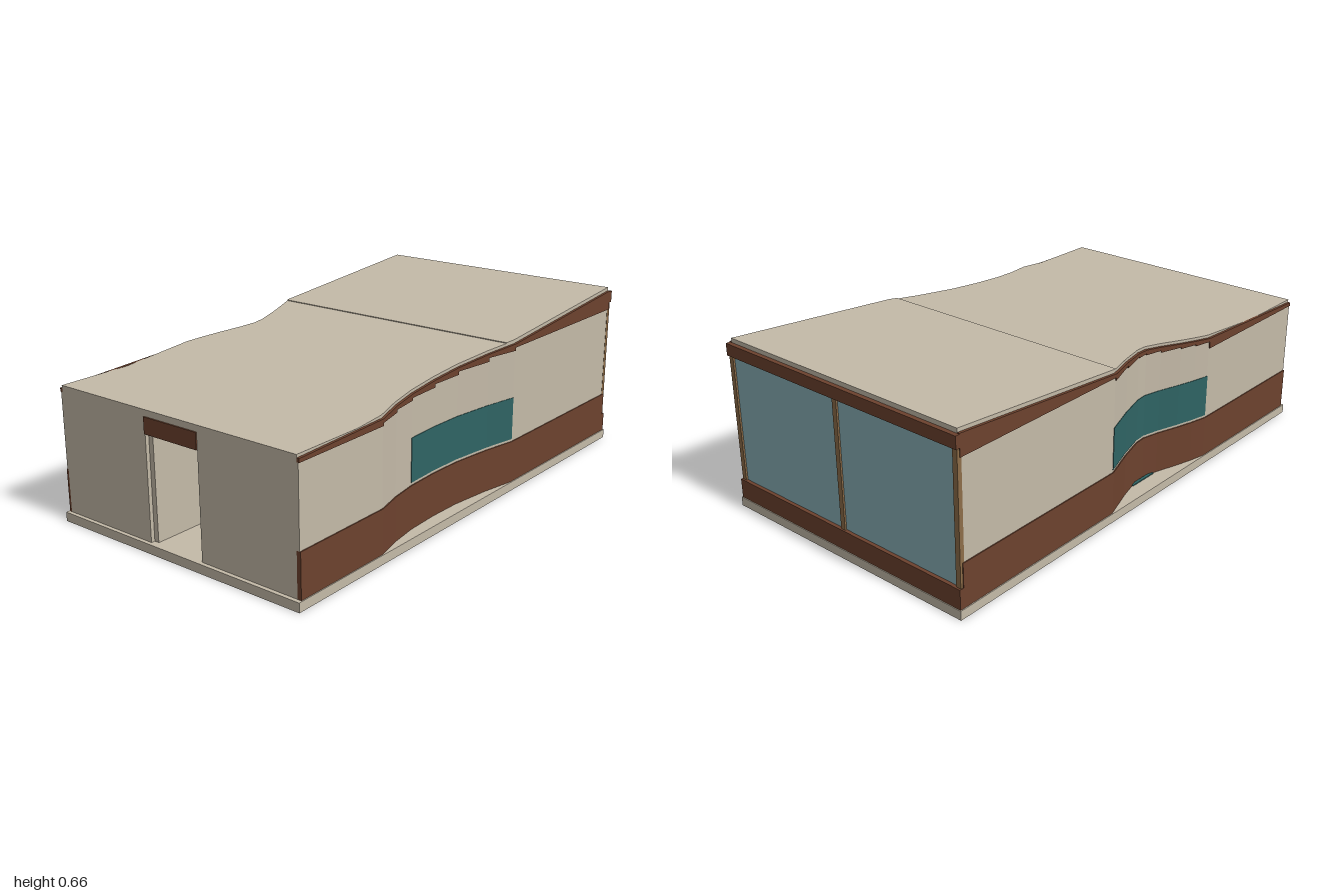
import * as THREE from 'three';

const mat = (name, color, opts = {}) => {
  const m = new THREE.MeshStandardMaterial({ color, ...opts });
  m.name = name;
  return m;
};

export function createModel() {
  const group = new THREE.Group();
  const beige = mat('plaster beige', 0xc4baa8);
  const brown = mat('timber brown', 0x6d422e);
  const teal = mat('dark teal glass', 0x2f6464);
  const glass = mat('pale blue glass', 0x88b0b6);
  const tan = mat('tan frame', 0x8c6c48);

  const add = (name, geometry, material, parent = group) => {
    const mesh = new THREE.Mesh(geometry, material);
    mesh.name = name;
    parent.add(mesh);
    return mesh;
  };
  // Box given by its min and max corners
  const block = (name, material, x0, x1, y0, y1, z0, z1) => {
    const g = new THREE.BoxGeometry(x1 - x0, y1 - y0, z1 - z0);
    g.translate((x0 + x1) / 2, (y0 + y1) / 2, (z0 + z1) / 2);
    return add(name, g, material);
  };
  // Moves every vertex of a box by a rule, then shades it flat
  const warpBox = (segments, rule) => {
    const g = new THREE.BoxGeometry(1, 1, 1, 1, 1, segments).toNonIndexed();
    const p = g.attributes.position;
    for (let i = 0; i < p.count; i++) p.setXYZ(i, ...rule(p.getX(i), p.getY(i), p.getZ(i)));
    g.computeVertexNormals();
    return g;
  };

  const FLOOR = 0.035;
  const ROOF = 0.025;
  const roofTop = (z) => 0.515 + Math.max(0, 0.69 - z) * 0.0868;

  // Outer wall lines in plan, [x, z]; the +x side runs backwards, the -x side forwards
  const leftPath = [[0.549, 0.985], [0.549, 0.57], [0.522, 0.46], [0.506, 0.35], [0.5, 0.21],
    [0.503, 0.07], [0.523, -0.1], [0.549, -0.24], [0.549, -0.98]];
  const rightPath = [[-0.549, -0.98], [-0.549, -0.21], [-0.505, -0.08], [-0.475, 0.03], [-0.471, 0.08],
    [-0.487, 0.15], [-0.515, 0.24], [-0.534, 0.31], [-0.549, 0.38], [-0.549, 0.985]];

  // Mitred outward normal at each path point
  const normals = (path) => path.map((_, i) => {
    const a = path[Math.max(i - 1, 0)];
    const b = path[Math.min(i + 1, path.length - 1)];
    const l = Math.hypot(b[0] - a[0], b[1] - a[1]);
    return [-(b[1] - a[1]) / l, (b[0] - a[0]) / l];
  });

  // Side walls: plinth band, plaster, ribbon window and fascia for every segment
  const sideWall = (name, path) => {
    const wall = new THREE.Group();
    wall.name = name;
    group.add(wall);
    const n = normals(path);
    for (let i = 0; i < path.length - 1; i++) {
      const prism = (part, material, inner, outer, y0, top) => add(part, warpBox(1, (u, v, w) => {
        const k = u < 0 ? i : i + 1;
        const off = w > 0 ? outer : inner;
        const z = path[k][1];
        return [path[k][0] + n[k][0] * off, v < 0 ? y0 : top(z), z + n[k][1] * off];
      }), material, wall);
      const wallTop = roofTop(Math.max(path[i][1], path[i + 1][1])) - ROOF;
      prism('plinthBand', brown, -0.012, 0.004, FLOOR, () => 0.2);
      prism('plaster', beige, -0.012, 0, 0.2, () => wallTop);
      prism('fascia', brown, -0.008, 0.004, wallTop, (z) => roofTop(z) - 0.011);
      // Windows only follow the curved stretch
      const zMin = Math.min(path[i][1], path[i + 1][1]);
      const zMax = Math.max(path[i][1], path[i + 1][1]);
      const limit = path === leftPath ? 0.36 : 0.39;
      if (zMin > -0.25 && zMax < limit) prism('ribbonWindow', teal, -0.013, 0.002, 0.21, () => 0.375);
    }
  };
  sideWall('leftWall', leftPath);
  sideWall('rightWall', rightPath);

  // Roof: cross-sections along z, following both wall lines
  const xAt = (path, z) => {
    for (let i = 0; i < path.length - 1; i++) {
      const [a, b] = [path[i], path[i + 1]];
      if ((z - a[1]) * (z - b[1]) <= 0) return a[0] + (b[0] - a[0]) * (z - a[1]) / (b[1] - a[1]);
    }
    return path[0][0];
  };
  const roof = (name, z0, z1, lift) => {
    const inside = [...leftPath, ...rightPath].map((p) => p[1]).concat(0.69).filter((z) => z > z0 && z < z1);
    const stations = [...new Set([z0, ...inside, z1])].sort((a, b) => a - b);
    const count = stations.length - 1;
    add(name, warpBox(count, (u, v, w) => {
      const z = stations[Math.round((w + 0.5) * count)];
      const x = u < 0 ? xAt(rightPath, z) + 0.006 : xAt(leftPath, z) - 0.006;
      return [x, roofTop(z) + (v > 0 ? lift : -ROOF), z];
    }), beige);
  };
  roof('frontRoof', -0.2, 0.985, 0);
  roof('rearRoof', -0.98, -0.2, 0.003);

  // Floor slab
  block('floorSlab', beige, -0.557, 0.557, 0, FLOOR, -1, 1);

  // Front wall with open doorway
  for (const s of [-1, 1]) {
    const [a, b] = s < 0 ? [-0.543, -0.122] : [0.122, 0.543];
    block('frontWall', beige, a, b, FLOOR, 0.49, 0.97, 0.985);
  }
  block('doorLintel', brown, -0.122, 0.122, 0.43, 0.491, 0.968, 0.99);

  // Inner partition beside the doorway and inner post
  block('partition', beige, -0.122, -0.102, FLOOR, 0.47, 0.45, 0.97);
  block('innerPost', brown, -0.012, 0.012, FLOOR, 0.415, -0.6, -0.576);

  // Glazed back wall
  block('backSill', brown, -0.553, 0.553, FLOOR, 0.11, -0.997, -0.97);
  block('backBeam', brown, -0.553, 0.553, 0.6, 0.646, -0.997, -0.975);
  block('backGlass', glass, -0.54, 0.54, 0.11, 0.61, -0.983, -0.977);
  for (const x of [-0.54, 0, 0.54]) {
    block('backMullion', tan, x - 0.01, x + 0.01, 0.11, 0.6, -0.99, -0.972);
  }

  // Thin teal strip on the slab at the foot of the right-hand recess
  block('floorStrip', teal, -0.492, -0.48, FLOOR, 0.039, 0.0, 0.13);

  return group;
}
